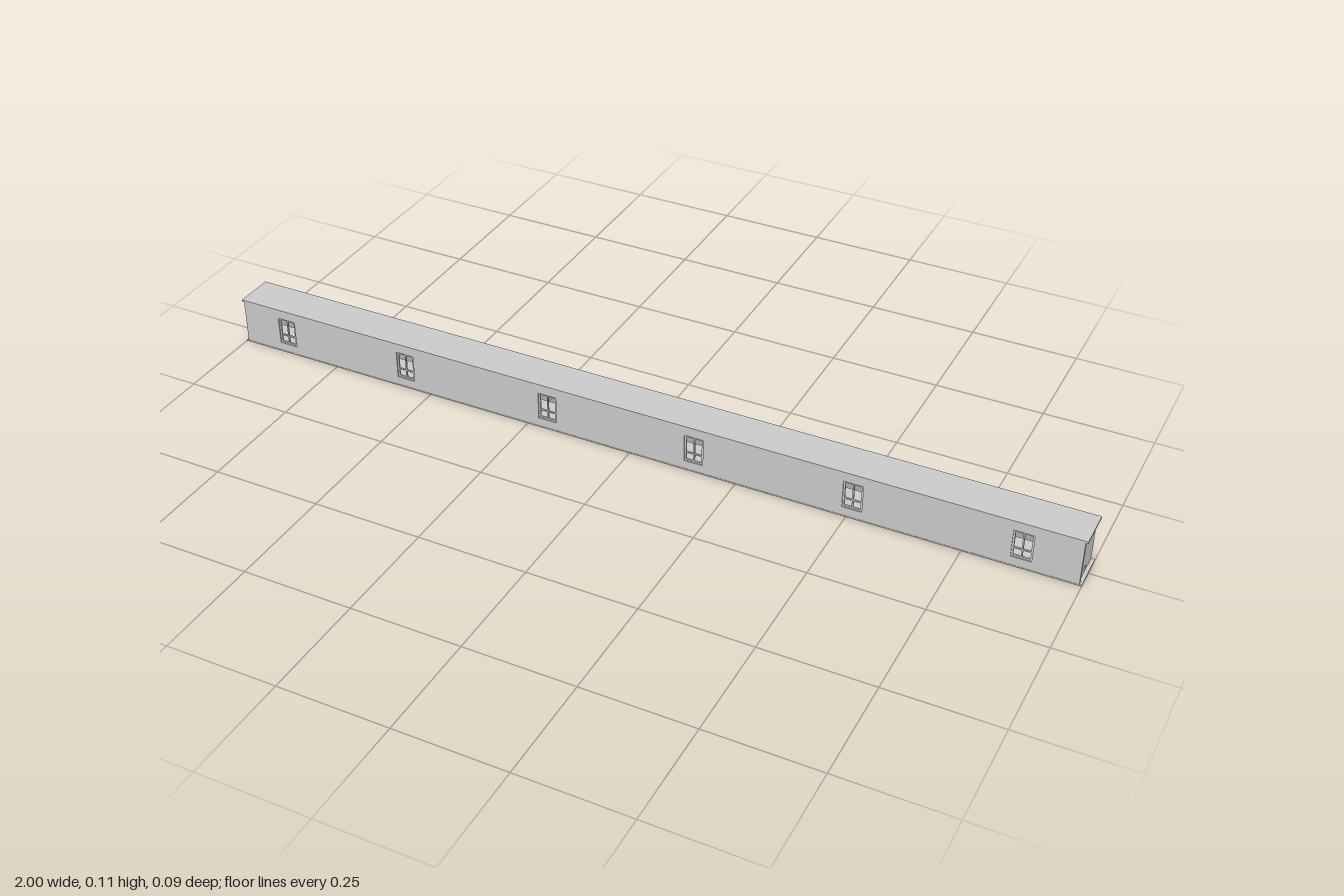
import * as THREE from 'three';

const material = new THREE.MeshStandardMaterial({ color: 0xcccccc, flatShading: true });

function box(parent, name, x0, x1, y0, y1, z0, z1) {
  const mesh = new THREE.Mesh(new THREE.BoxGeometry(x1 - x0, y1 - y0, z1 - z0), material);
  mesh.position.set((x0 + x1) / 2, (y0 + y1) / 2, (z0 + z1) / 2);
  mesh.name = name;
  parent.add(mesh);
  return mesh;
}

function rect(path, x0, x1, y0, y1) {
  path.moveTo(x0, y0);
  path.lineTo(x1, y0);
  path.lineTo(x1, y1);
  path.lineTo(x0, y1);
  path.closePath();
  return path;
}

// Flat wall with rectangular openings, extruded along +z
function wallGeometry(outline, openings, depth) {
  const shape = rect(new THREE.Shape(), ...outline);
  for (const o of openings) shape.holes.push(rect(new THREE.Path(), ...o));
  return new THREE.ExtrudeGeometry(shape, { depth, bevelEnabled: false });
}

export function createModel() {
  const model = new THREE.Group();
  model.name = 'corridor';

  const floorTop = 0.003, roofBottom = 0.106, height = 0.111;
  const back = -0.046, front = 0.046, wallBack = 0.037;
  const sill = 0.023, head = 0.088, halfWidth = 0.022;
  const windowCentres = [-0.88, -0.562, -0.2, 0.152, 0.512, 0.873];

  box(model, 'floor', -1, 1, 0, floorTop, back, front);
  box(model, 'roof', -1, 1, roofBottom, height, back, front);

  // Front wall pierced by the windows
  const openings = windowCentres.map((x) => [x - halfWidth, x + halfWidth, sill, head]);
  const frontWall = new THREE.Mesh(
    wallGeometry([-0.995, 0.995, floorTop, roofBottom], openings, front - wallBack - 0.0005), material);
  frontWall.position.z = wallBack;
  frontWall.name = 'frontWall';
  model.add(frontWall);

  // Window frames and glazing bars
  for (const x of windowCentres) {
    const win = new THREE.Group();
    win.name = 'window';
    const z0 = 0.039, z1 = 0.043, f = 0.004;
    for (const s of [-1, 1]) {
      const c = x + s * (halfWidth - f / 2);
      box(win, 'windowJamb', c - f / 2, c + f / 2, sill, head, z0, z1);
    }
    box(win, 'windowSill', x - halfWidth, x + halfWidth, sill, sill + f, z0, z1);
    box(win, 'windowHead', x - halfWidth, x + halfWidth, head - f, head, z0, z1);
    box(win, 'windowMullion', x - 0.0015, x + 0.0015, sill, head, z0, z1);
    box(win, 'windowTransom', x - halfWidth, x + halfWidth, 0.043, 0.046, z0, z1);
    model.add(win);
  }

  // End walls, set in from the slab ends, each with a small low opening
  for (const s of [-1, 1]) {
    const endWall = new THREE.Mesh(
      wallGeometry([-wallBack, -back, floorTop, roofBottom], [[-0.007, 0.004, 0.007, 0.017]], 0.006), material);
    endWall.rotation.y = Math.PI / 2;
    endWall.position.x = s > 0 ? 0.986 : -0.992;
    endWall.name = 'endWall';
    model.add(endWall);
  }

  // Low panelling along the inside of the front wall
  const count = 70, span = 1.96 / count;
  for (let i = 0; i < count; i++) {
    const x = -0.98 + i * span;
    box(model, 'wallPanel', x + 0.002, x + span - 0.002, 0.006, 0.02, wallBack - 0.0008, wallBack + 0.0005);
  }

  return model;
}
